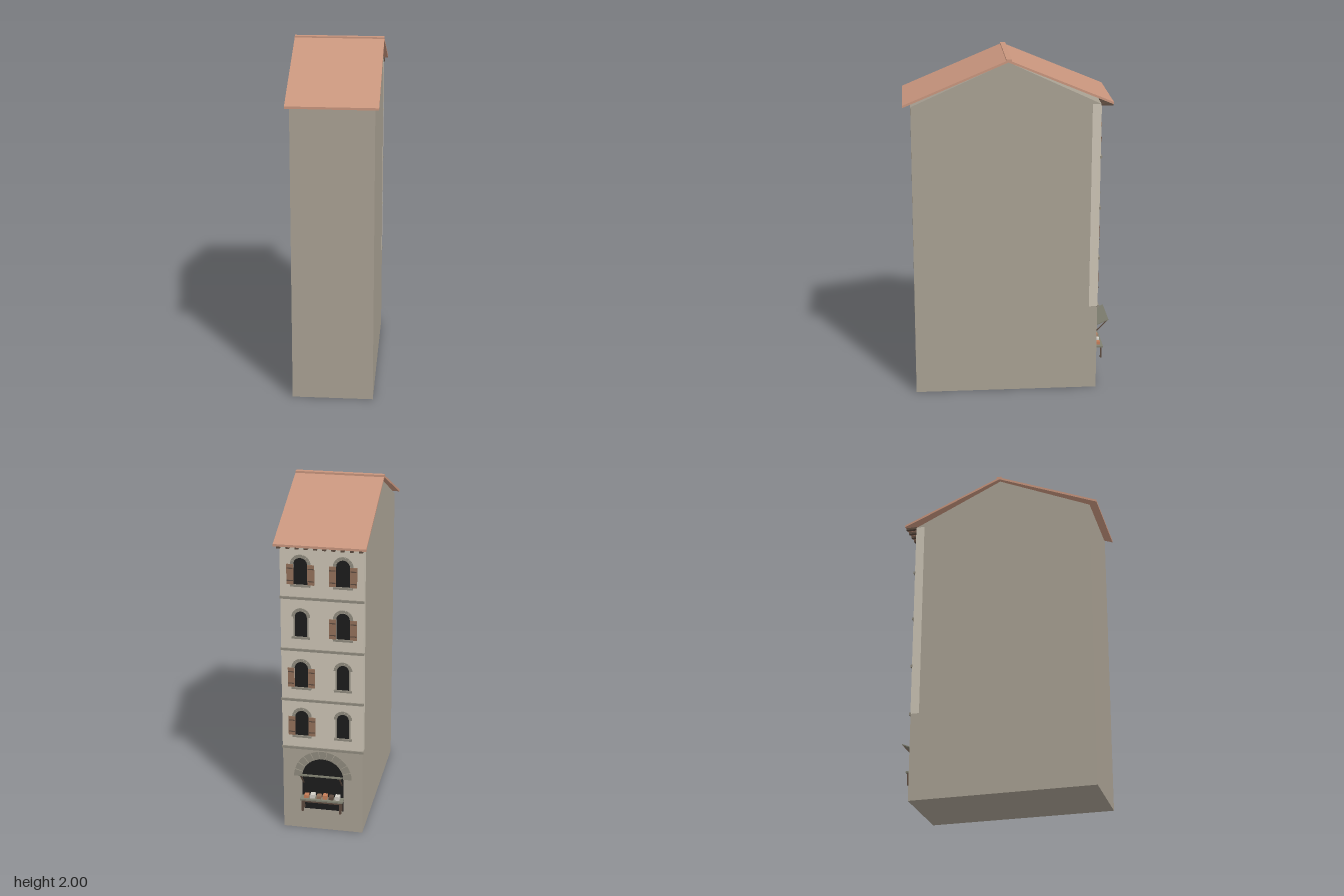
import * as THREE from 'three';

const material = (name, color) => {
  const m = new THREE.MeshStandardMaterial({ color });
  m.name = name;
  return m;
};

export function createModel() {
  const stone = material('wall stone', 0xa8a092);
  const plaster = material('plaster', 0xcbc3b4);
  const tile = material('roof tile', 0xc8957d);
  const trim = material('trim stone', 0x8f8a7d);
  const dark = material('dark opening', 0x1c1c1c);
  const shutterWood = material('shutter wood', 0x92705a);
  const timber = material('dark timber', 0x5c4a3e);
  const greyWood = material('weathered wood', 0x808071);
  const orange = material('orange goods', 0xc47d58);
  const white = material('pale goods', 0xd2cec6);

  const model = new THREE.Group();
  model.name = 'townHouse';
  const BACK = -0.515; // plane of the decorated wall

  const add = (parent, name, geometry, mat) => {
    const mesh = new THREE.Mesh(geometry, mat);
    mesh.name = name;
    parent.add(mesh);
    return mesh;
  };
  const box = (parent, name, mat, w, h, d, x, y, z) => {
    const mesh = add(parent, name, new THREE.BoxGeometry(w, h, d), mat);
    mesh.position.set(x, y, z);
    return mesh;
  };
  const group = (name, x = 0, y = 0, z = 0, parent = model) => {
    const g = new THREE.Group();
    g.name = name;
    g.position.set(x, y, z);
    parent.add(g);
    return g;
  };
  const extrude = (shape, depth, curveSegments = 12) =>
    new THREE.ExtrudeGeometry(shape, { depth, bevelEnabled: false, curveSegments });
  // Side profile of [z, y] points swept across the width
  const sweep = (points, width) => {
    const shape = new THREE.Shape(points.map(([z, y]) => new THREE.Vector2(z, y)));
    return extrude(shape, width).rotateY(-Math.PI / 2).translate(width / 2, 0, 0);
  };
  // Round-headed panel; origin at the bottom centre, outer face towards -z
  const archPanel = (width, springing, depth) => {
    const s = new THREE.Shape();
    s.moveTo(-width / 2, 0);
    s.lineTo(width / 2, 0);
    s.lineTo(width / 2, springing);
    s.absarc(0, springing, width / 2, 0, Math.PI, false);
    s.closePath();
    return extrude(s, depth).translate(0, 0, -depth);
  };
  // Half ring of separate wedge stones
  const archStones = (parent, inner, outer, count, y, depth, gap) => {
    const step = Math.PI / count;
    for (let i = 0; i < count; i++) {
      const a = i * step + gap, b = (i + 1) * step - gap;
      const s = new THREE.Shape();
      s.absarc(0, 0, outer, a, b, false);
      s.absarc(0, 0, inner, b, a, true);
      s.closePath();
      add(parent, 'archStone', extrude(s, depth, 3).translate(0, y, -depth), trim);
    }
  };

  // Stone body with gables, and the plaster skin of the upper floors
  add(model, 'body', sweep([[-0.515, 0], [0.555, 0], [0.555, 1.735], [0.01, 1.98], [-0.515, 1.735]], 0.463), stone);
  box(model, 'plasterWall', plaster, 0.465, 1.217, 0.051, 0, 1.1265, BACK + 0.0245);

  // Roof slopes and ridge cap
  add(model, 'frontRoof', sweep([[0.01, 1.983], [0.6, 1.736], [0.6, 1.749], [0.01, 1.996]], 0.507), tile);
  add(model, 'backRoof', sweep([[0.01, 1.983], [0.01, 1.996], [-0.581, 1.75], [-0.581, 1.737]], 0.507), tile);
  box(model, 'ridgeCap', tile, 0.507, 0.018, 0.03, 0, 1.991, 0.007);

  // Rafter ends under the eaves
  for (let i = 0; i < 10; i++)
    box(model, 'rafterEnd', timber, 0.02, 0.013, 0.065, -0.225 + i * 0.05, 1.733, BACK - 0.032);

  // String courses
  const floors = [0.518, 0.817, 1.122, 1.427];
  for (const y of floors) box(model, 'stringCourse', trim, 0.471, 0.014, 0.012, 0, y, BACK - 0.003);

  // Windows; true means a window with open shutters, listed as [+x, -x]
  const shuttered = [[true, false], [true, false], [false, true], [true, true]];
  floors.forEach((floorY, f) => [0.118, -0.118].forEach((x, side) => {
    const open = shuttered[f][side];
    const w = open ? 0.076 : 0.068;
    const win = group('window', x, floorY + 0.08, BACK - 0.001);
    add(win, 'opening', archPanel(w, 0.115, 0.002), dark);
    archStones(win, w / 2, w / 2 + 0.018, 7, 0.115, 0.006, 0.02);
    box(win, 'sill', trim, w + 0.034, 0.012, 0.012, 0, -0.006, -0.005);
    for (const s of [-1, 1]) {
      if (open) {
        const leaf = group('shutter', s * (w / 2 + 0.02), 0.057, -0.004, win);
        box(leaf, 'shutterLeaf', shutterWood, 0.038, 0.115, 0.006, 0, 0, 0);
        for (const y of [-0.035, 0.035]) box(leaf, 'shutterBatten', timber, 0.034, 0.006, 0.002, 0, y, -0.004);
      } else {
        box(win, 'jamb', trim, 0.008, 0.115, 0.005, s * (w / 2 + 0.004), 0.0575, -0.0025);
      }
    }
  }));

  // Arched shop opening
  const shop = group('shopFront', 0, 0.13, BACK);
  add(shop, 'shopOpening', archPanel(0.24, 0.205, 0.003), dark);
  archStones(shop, 0.12, 0.168, 11, 0.205, 0.006, 0.015);

  // Raised hatch with its props
  add(model, 'hatch', sweep([[BACK, 0.343], [BACK, 0.349], [-0.6, 0.386], [-0.6, 0.38]], 0.24), greyWood);
  for (const x of [-0.112, 0.112]) {
    const prop = box(model, 'hatchProp', timber, 0.007, 0.117, 0.005, x, 0.338, -0.556);
    prop.rotation.x = -Math.atan2(0.082, 0.085);
  }

  // Counter
  box(model, 'counterTop', greyWood, 0.25, 0.01, 0.055, 0, 0.211, BACK - 0.0275);
  box(model, 'counterRail', timber, 0.23, 0.012, 0.005, 0, 0.199, -0.56);
  for (const x of [-0.11, 0.11])
    for (const z of [-0.521, -0.56]) box(model, 'counterLeg', timber, 0.011, 0.072, 0.009, x, 0.171, z);

  // Goods on the counter
  [white, timber, orange, shutterWood, white, orange].forEach((mat, i) =>
    box(model, 'goods', mat, 0.026, i % 2 ? 0.018 : 0.024, 0.034, -0.09 + i * 0.036, i % 2 ? 0.225 : 0.228, -0.538));

  return model;
}
